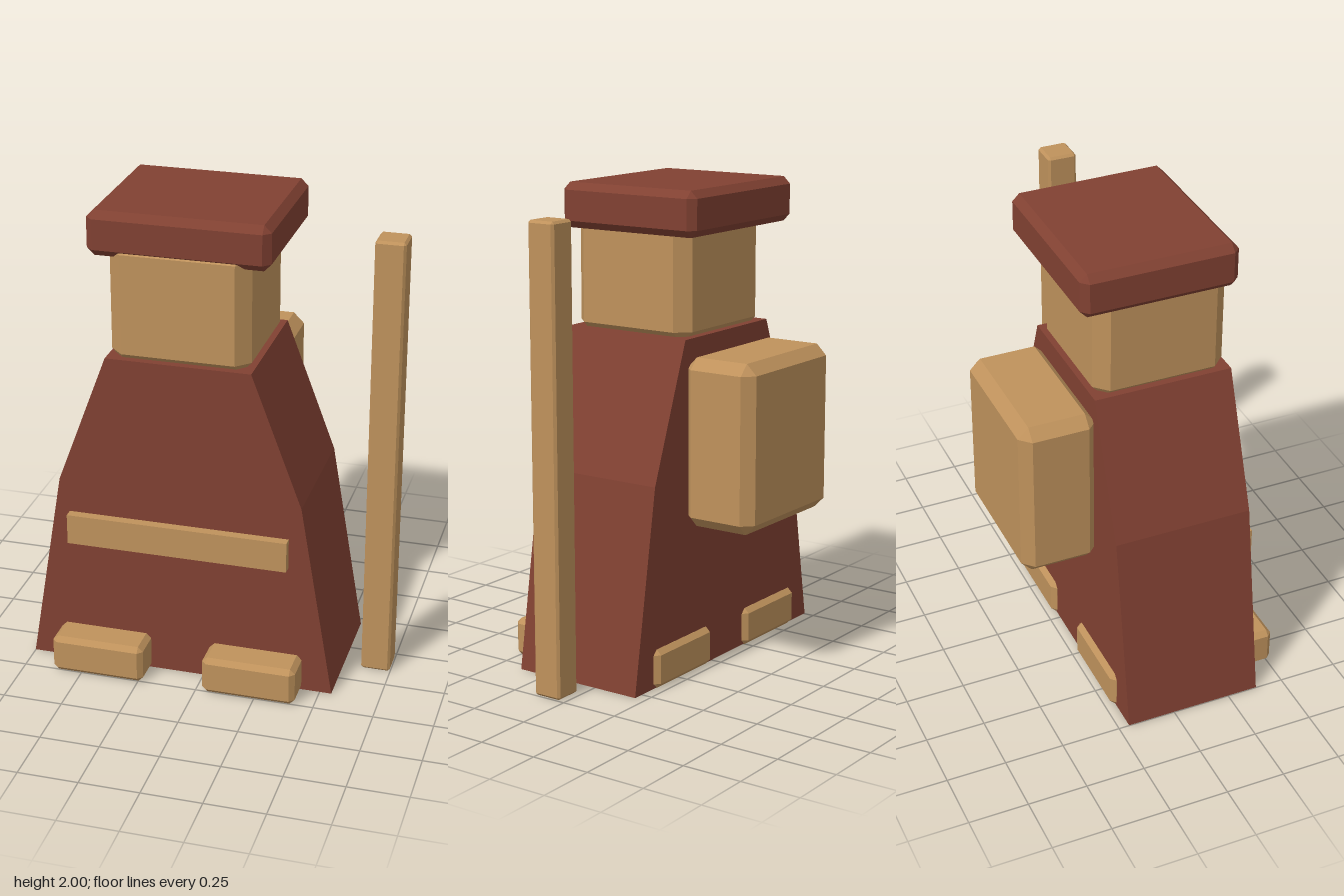
import * as THREE from 'three';
import { ConvexGeometry } from 'three/addons/geometries/ConvexGeometry.js';

const cloth = new THREE.MeshStandardMaterial({ color: 0x814132 });
cloth.name = 'russet cloth';
const tan = new THREE.MeshStandardMaterial({ color: 0xbf925c });
tan.name = 'tan';

// Box with flat 45-degree chamfers, given by its [min, max] on each axis
function chamferBox(name, material, [x0, x1], [y0, y1], [z0, z1], bevel) {
  const half = [(x1 - x0) / 2, (y1 - y0) / 2, (z1 - z0) / 2];
  const points = [];
  for (const sx of [-1, 1]) for (const sy of [-1, 1]) for (const sz of [-1, 1]) {
    for (let axis = 0; axis < 3; axis++) {
      // each corner is cut into three points, one on each face
      const size = half.map((v, i) => (i === axis ? v : v - bevel));
      points.push(new THREE.Vector3(sx * size[0], sy * size[1], sz * size[2]));
    }
  }
  const mesh = new THREE.Mesh(new ConvexGeometry(points), material);
  mesh.position.set((x0 + x1) / 2, (y0 + y1) / 2, (z0 + z1) / 2);
  mesh.name = name;
  return mesh;
}

export function createModel() {
  const group = new THREE.Group();
  group.name = 'robedFigure';
  const centreX = -0.1;

  // Robe: flared outline extruded from back to front
  const half = [[0.65, 0.002], [0.51, 0.84], [0.3, 1.4]];
  const outline = [
    ...half.map(([x, y]) => new THREE.Vector2(x, y)),
    ...half.slice().reverse().map(([x, y]) => new THREE.Vector2(-x, y)),
  ];
  const robe = new THREE.Mesh(
    new THREE.ExtrudeGeometry(new THREE.Shape(outline), { depth: 0.585, bevelEnabled: false }), cloth);
  robe.position.set(centreX, 0, -0.205);
  robe.name = 'robe';
  group.add(robe);

  // Belt strip on the front of the robe
  const belt = new THREE.Mesh(new THREE.BoxGeometry(0.93, 0.13, 0.12), tan);
  belt.position.set(-0.105, 0.632, 0.36);
  belt.name = 'belt';
  group.add(belt);

  // Head and hat
  group.add(chamferBox('head', tan, [-0.39, 0.185], [1.365, 1.89], [-0.19, 0.368], 0.055));
  group.add(chamferBox('hat', cloth, [-0.475, 0.267], [1.815, 2], [-0.285, 0.367], 0.03));

  // Pack on the back
  group.add(chamferBox('backpack', tan, [-0.415, 0.207], [0.63, 1.328], [-0.517, -0.19], 0.045));

  // Feet poking out of the robe at both ends
  for (const side of [-1, 1]) {
    const x = centreX + side * 0.325;
    group.add(chamferBox(side > 0 ? 'leftFoot' : 'rightFoot', tan,
      [x - 0.197, x + 0.197], [0, 0.163], [-0.227, 0.517], 0.021));
  }

  // Staff at the left side
  group.add(chamferBox('staff', tan, [0.625, 0.748], [0, 1.91], [0.025, 0.15], 0.01));

  return group;
}
